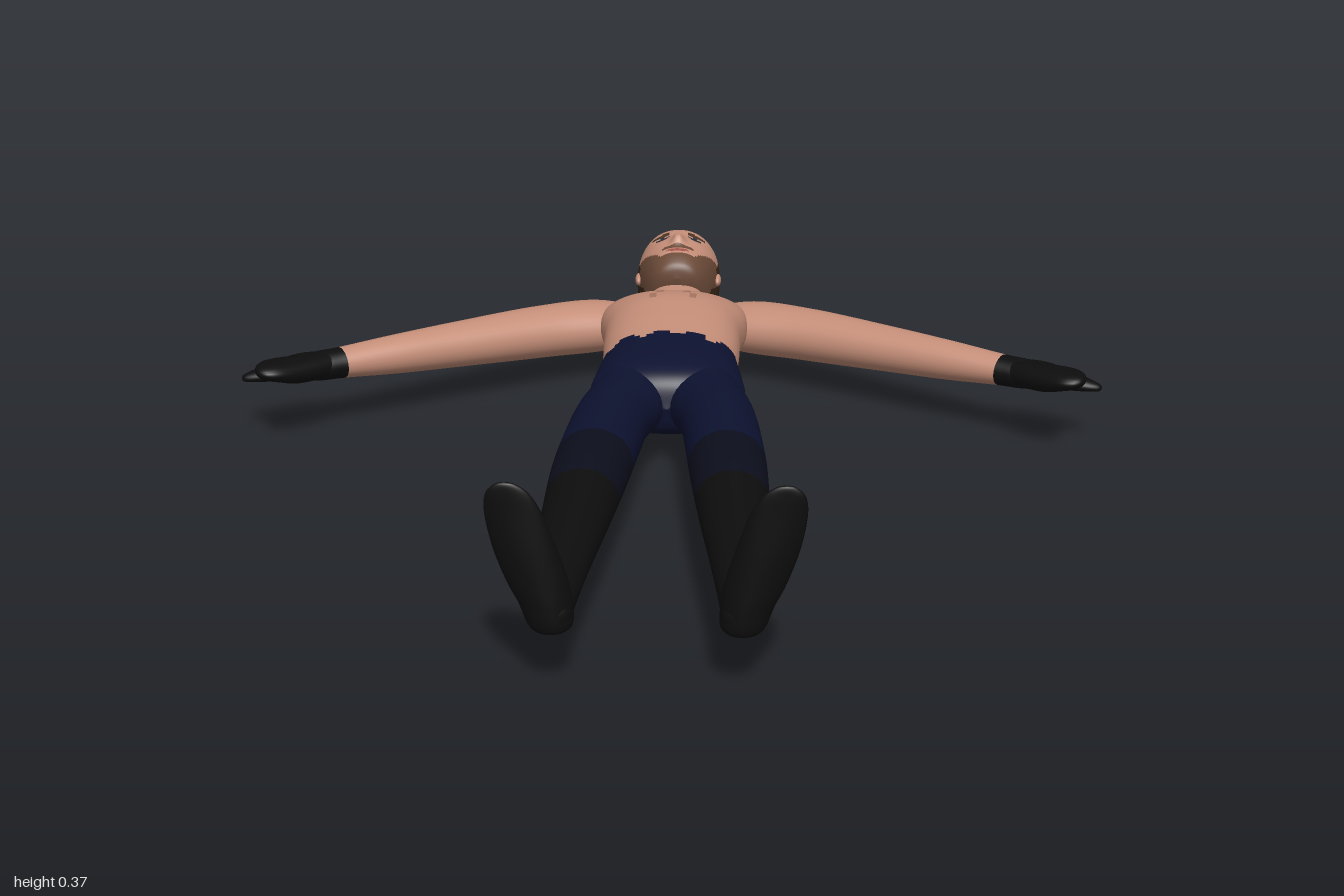
import * as THREE from 'three';

const PALETTE = {
  skin: 0xc68f79, shadedSkin: 0xa97763, hair: 0x3b2817, beard: 0x6b4a38, brow: 0x4a3325,
  eye: 0x2b3038, lips: 0xa0524a, trousers: 0x0d1230, shin: 0x0c0e1c, boot: 0x0d0d0d, glove: 0x0d0d0d,
};
const X = new THREE.Vector3(1, 0, 0);
const Y = new THREE.Vector3(0, 1, 0);
const Z = new THREE.Vector3(0, 0, 1);

// Smooth tube through rows of [x, y, z, halfSide, halfUp]. side x up must point along the rows.
// region(point) names the colour of each face; mirror = -1 flips the part to the other side.
function loft(name, rows, { side = X, up = Y, along = 40, around = 32, power = 1, mirror = 1, shape, region }) {
  const centre = new THREE.CatmullRomCurve3(rows.map(r => new THREE.Vector3(r[0], r[1], r[2])), false, 'catmullrom');
  const radius = new THREE.CatmullRomCurve3(rows.map(r => new THREE.Vector3(r[3], r[4], 0)), false, 'catmullrom');
  const points = [];
  const bend = v => Math.sign(v) * Math.abs(v) ** power;
  for (let i = 0; i <= along; i++) {
    const c = centre.getPoint(i / along);
    const r = radius.getPoint(i / along);
    for (let j = 0; j < around; j++) {
      const a = (j / around) * Math.PI * 2;
      const p = c.clone()
        .addScaledVector(side, Math.max(r.x, 0) * bend(Math.cos(a)))
        .addScaledVector(up, Math.max(r.y, 0) * bend(Math.sin(a)));
      if (shape) shape(p, Math.sin(a));
      p.x *= mirror;
      points.push(p);
    }
  }
  const faces = {};
  const all = [];
  for (let i = 0; i < along; i++) {
    for (let j = 0; j < around; j++) {
      const k = (j + 1) % around;
      const a = i * around + j, b = i * around + k, c = b + around, d = a + around;
      const quad = mirror > 0 ? [a, b, c, a, c, d] : [a, c, b, a, d, c];
      const mid = points[a].clone().add(points[c]).multiplyScalar(0.5);
      (faces[region(mid)] ??= []).push(...quad);
      all.push(...quad);
    }
  }
  const whole = new THREE.BufferGeometry().setFromPoints(points);
  whole.setIndex(all);
  whole.computeVertexNormals();

  // One mesh per colour, sharing the normals of the whole surface
  const group = new THREE.Group();
  group.name = name;
  for (const [key, index] of Object.entries(faces)) {
    const geometry = new THREE.BufferGeometry();
    geometry.setAttribute('position', whole.attributes.position);
    geometry.setAttribute('normal', whole.attributes.normal);
    geometry.setIndex(index);
    const mesh = new THREE.Mesh(geometry, new THREE.MeshStandardMaterial({ color: PALETTE[key] }));
    mesh.name = `${name} ${key}`;
    group.add(mesh);
  }
  return group;
}

// Hair, beard and features by position on the head
function headRegion({ x, y, z }) {
  const ax = Math.abs(x);
  if (z < -0.945 + ax * 0.3 || (y < 0.17 && z < -0.835) || (y < 0.135 && z < -0.775)) return 'hair';
  if (y > 0.17) {
    if (Math.hypot((ax - 0.041) / 0.016, (z + 0.866) / 0.007) < 1) return 'eye';
    if (ax > 0.02 && ax < 0.066 && Math.abs(z + 0.886 - ax * 0.1) < 0.006) return 'brow';
    if (Math.hypot(x / 0.027, (z + 0.78) / 0.006) < 1) return 'lips';
    if (ax < 0.036 && Math.abs(z + 0.795) < 0.006) return 'beard';
  }
  if (y > 0.13 && z > -0.768 - Math.max(ax - 0.04, 0) * 1.6) return 'beard';
  return 'skin';
}

// Nose ridge and shallow eye sockets
function shapeFace(p, upward) {
  if (upward <= 0) return;
  const ax = Math.abs(p.x);
  const length = p.z > -0.815 ? 0.012 : 0.035;
  p.y += 0.024 * Math.exp(-((p.x / 0.014) ** 2) - ((p.z + 0.815) / length) ** 2);
  p.y -= 0.006 * Math.exp(-(((ax - 0.04) / 0.018) ** 2) - ((p.z + 0.866) / 0.014) ** 2);
}

export function createModel() {
  const model = new THREE.Group();
  model.name = 'lyingMan';

  // Neck, chest and pelvis
  model.add(loft('torso', [
    [0, 0.115, -0.78, 0.06, 0.05], [0, 0.112, -0.72, 0.07, 0.052], [0, 0.11, -0.68, 0.085, 0.052],
    [0, 0.11, -0.65, 0.13, 0.056], [0, 0.115, -0.61, 0.165, 0.065], [0, 0.125, -0.55, 0.17, 0.08],
    [0, 0.135, -0.48, 0.165, 0.093], [0, 0.14, -0.4, 0.152, 0.1], [0, 0.14, -0.3, 0.148, 0.095],
    [0, 0.137, -0.2, 0.145, 0.088], [0, 0.137, -0.1, 0.155, 0.082], [0, 0.133, -0.03, 0.155, 0.074],
    [0, 0.132, 0.01, 0.09, 0.05], [0, 0.132, 0.025, 0, 0],
  ], {
    along: 100, around: 64, power: 0.88,
    region: ({ x, y, z }) => {
      if (z > -0.195 + 0.014 * Math.sin(x * 90)) return 'trousers';
      const crease = Math.abs(Math.abs(x) - 0.032 - (z + 0.48) * 0.15) < 0.007;
      return crease && y > 0.14 && z > -0.54 && z < -0.4 ? 'shadedSkin' : 'skin';
    },
  }));

  // Head from crown to chin
  const head = [
    [-1, 0.115, 0.145, 0], [-0.996, 0.085, 0.175, 0.032], [-0.985, 0.06, 0.2, 0.055], [-0.965, 0.032, 0.225, 0.075],
    [-0.935, 0.012, 0.241, 0.092], [-0.9, 0.003, 0.25, 0.1], [-0.85, 0.008, 0.247, 0.099],
    [-0.81, 0.025, 0.242, 0.09], [-0.77, 0.05, 0.235, 0.076], [-0.742, 0.11, 0.22, 0.057],
    [-0.73, 0.155, 0.205, 0.035], [-0.726, 0.18, 0.18, 0],
  ].map(([z, low, high, w]) => [0, (low + high) / 2, z, w, (high - low) / 2]);
  model.add(loft('head', head, { along: 110, around: 110, power: 0.92, shape: shapeFace, region: headRegion }));

  const reach = new THREE.Vector3(0.56, 0, -0.83); // across the arm
  for (const mirror of [1, -1]) {
    const label = mirror > 0 ? 'left' : 'right';

    // Ear
    const ear = new THREE.Mesh(new THREE.SphereGeometry(1, 16, 12), new THREE.MeshStandardMaterial({ color: PALETTE.skin }));
    ear.name = `${label}Ear`;
    ear.scale.set(0.009, 0.014, 0.026);
    ear.position.set(mirror * 0.095, 0.145, -0.835);
    model.add(ear);

    // Arm
    model.add(loft(`${label}Arm`, [
      [0.05, 0.115, -0.6, 0.03, 0.025], [0.16, 0.117, -0.568, 0.076, 0.056], [0.3, 0.125, -0.487, 0.067, 0.058],
      [0.47, 0.135, -0.365, 0.054, 0.05], [0.6, 0.142, -0.27, 0.045, 0.042], [0.7, 0.147, -0.2, 0.038, 0.033],
      [0.75, 0.148, -0.17, 0.04, 0.03], [0.79, 0.148, -0.145, 0.03, 0.02], [0.81, 0.148, -0.135, 0, 0],
    ], { side: reach, along: 70, mirror, region: p => (Math.abs(p.x) + p.z * 0.6 > 0.58 ? 'glove' : 'skin') }));

    // Gloved hand: finger lobe and thumb lobe
    const glove = { side: reach, along: 24, around: 24, mirror, region: () => 'glove' };
    model.add(loft(`${label}Fingers`, [
      [0.71, 0.147, -0.2, 0.03, 0.026], [0.78, 0.145, -0.178, 0.04, 0.027], [0.84, 0.137, -0.162, 0.031, 0.019],
      [0.88, 0.131, -0.15, 0.02, 0.012], [0.9, 0.128, -0.144, 0.01, 0.007], [0.905, 0.127, -0.142, 0, 0],
    ], glove));
    model.add(loft(`${label}Thumb`, [
      [0.72, 0.15, -0.18, 0.028, 0.026], [0.785, 0.157, -0.122, 0.042, 0.028], [0.822, 0.166, -0.088, 0.045, 0.022],
      [0.84, 0.17, -0.068, 0.035, 0.016], [0.848, 0.172, -0.056, 0.018, 0.009], [0.85, 0.173, -0.05, 0, 0],
    ], glove));

    // Leg fading from trousers to boot
    model.add(loft(`${label}Leg`, [
      [0.08, 0.135, -0.1, 0.06, 0.066], [0.085, 0.132, 0, 0.081, 0.07], [0.105, 0.136, 0.1, 0.076, 0.072],
      [0.115, 0.138, 0.2, 0.075, 0.073], [0.128, 0.147, 0.4, 0.072, 0.068], [0.138, 0.15, 0.6, 0.062, 0.051],
      [0.149, 0.148, 0.8, 0.049, 0.038], [0.152, 0.143, 0.92, 0.038, 0.034], [0.152, 0.145, 0.975, 0.034, 0.032],
      [0.152, 0.145, 0.993, 0.02, 0.02], [0.152, 0.145, 0.996, 0, 0],
    ], { along: 80, mirror, region: p => (p.z < 0.35 ? 'trousers' : p.z < 0.52 ? 'shin' : 'boot') }));

    // Foot, heel to toes
    model.add(loft(`${label}Foot`, [
      [0.152, 0.108, 0.965, 0, 0], [0.152, 0.112, 0.965, 0.022, 0.024], [0.153, 0.125, 0.963, 0.035, 0.037],
      [0.16, 0.16, 0.963, 0.037, 0.043], [0.172, 0.2, 0.968, 0.032, 0.049], [0.19, 0.26, 0.977, 0.023, 0.05],
      [0.205, 0.32, 0.985, 0.014, 0.045], [0.213, 0.355, 0.99, 0.009, 0.034], [0.216, 0.372, 0.993, 0.005, 0.016],
      [0.217, 0.376, 0.994, 0, 0],
    ], { side: Z, up: X, along: 44, mirror, region: () => 'boot' }));
  }
  return model;
}
